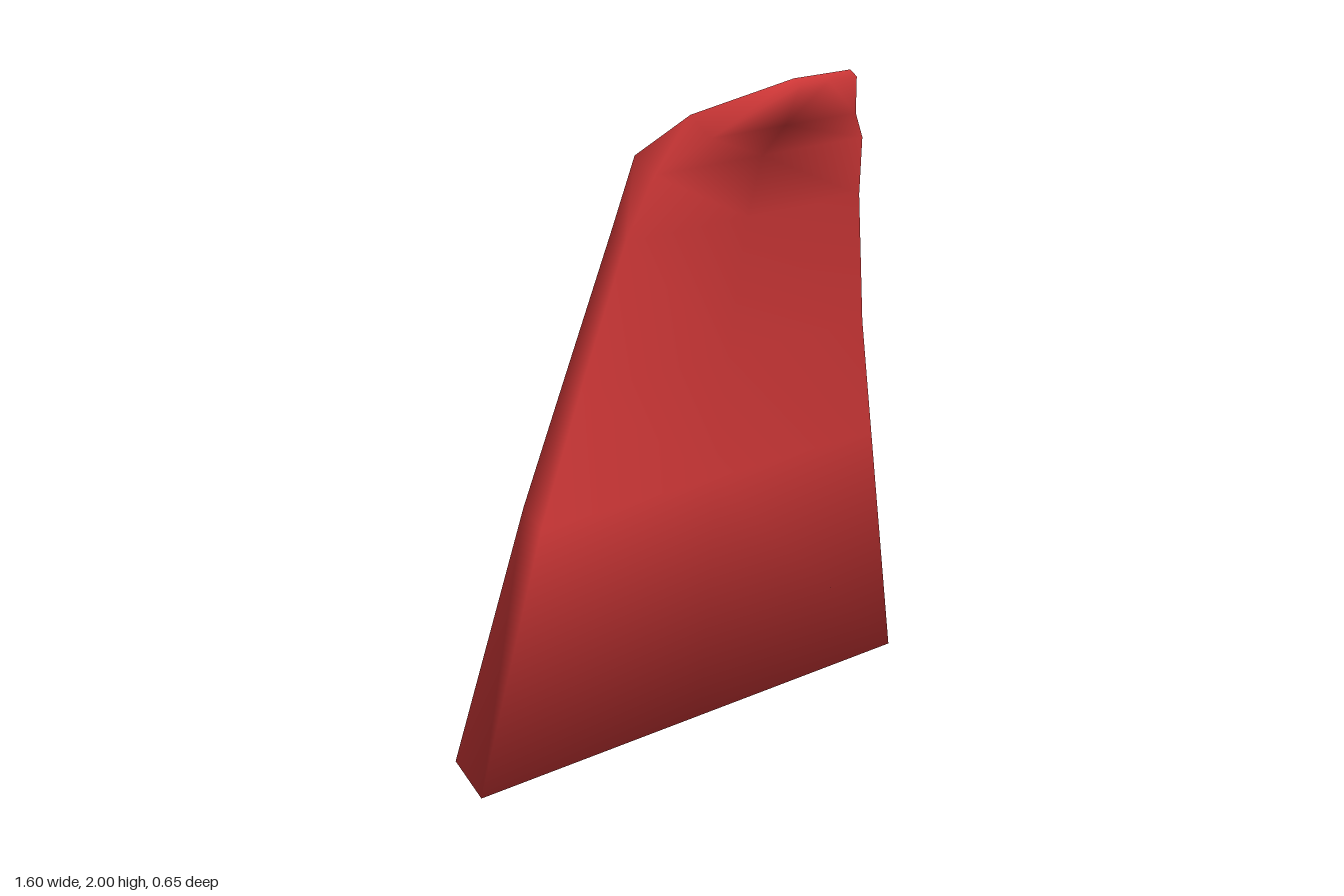
import * as THREE from 'three';

// Rows from top to bottom: half width, front [y, z], back [y, z]
const ROWS = [
  [0.10, [1.985, 0.325], [2.00, 0.30]],
  [0.26, [1.845, 0.16], [1.895, 0.08]],
  [0.375, [1.75, 0.07], [1.79, -0.01]],
  [0.425, [1.57, 0.01], [1.60, -0.045]],
  [0.525, [1.16, -0.07], [1.18, -0.14]],
  [0.625, [0.78, -0.125], [0.82, -0.205]],
  [0.80, [0.0, -0.205], [0.07, -0.325]],
];

// Smooth normals weighted by corner angle, so the thin rims look rounded
function softNormals(geometry) {
  const pos = geometry.attributes.position, index = geometry.index;
  const sums = Array.from({ length: pos.count }, () => new THREE.Vector3());
  for (let f = 0; f < index.count; f += 3) {
    const ids = [0, 1, 2].map((k) => index.getX(f + k));
    const p = ids.map((i) => new THREE.Vector3().fromBufferAttribute(pos, i));
    const normal = new THREE.Triangle(...p).getNormal(new THREE.Vector3());
    ids.forEach((id, k) => {
      const u = p[(k + 1) % 3].clone().sub(p[k]);
      const v = p[(k + 2) % 3].clone().sub(p[k]);
      sums[id].addScaledVector(normal, u.angleTo(v));
    });
  }
  const normals = sums.flatMap((n) => n.normalize().toArray());
  geometry.setAttribute('normal', new THREE.Float32BufferAttribute(normals, 3));
}

// Closed curved slab: one profile ring at the right edge, centre and left edge
function slabGeometry() {
  const n = ROWS.length, ringSize = 2 * n;
  const ring = [
    ...ROWS.map(([w, front]) => [w, ...front]),
    ...ROWS.map(([w, , back]) => [w, ...back]).reverse(),
  ];
  const positions = [], indices = [];
  for (const side of [-1, 0, 1]) {
    for (const [w, y, z] of ring) positions.push(side * w, y, z);
  }
  const quad = (a, b, c, d) => indices.push(a, b, c, a, c, d);

  // Front, underside, back and top rim
  for (let c = 0; c < 2; c++) {
    for (let r = 0; r < ringSize; r++) {
      const next = (r + 1) % ringSize, here = c * ringSize, there = here + ringSize;
      quad(here + r, here + next, there + next, there + r);
    }
  }
  // Narrow side edges
  for (let i = 0; i < n - 1; i++) {
    const back = ringSize - 1 - i, left = 2 * ringSize;
    quad(left + i, left + i + 1, left + back - 1, left + back);
    quad(back, back - 1, i + 1, i);
  }
  const geometry = new THREE.BufferGeometry();
  geometry.setAttribute('position', new THREE.Float32BufferAttribute(positions, 3));
  geometry.setIndex(indices);
  softNormals(geometry);
  return geometry;
}

export function createModel() {
  const red = new THREE.MeshStandardMaterial({ color: 0xd83a3a });
  red.name = 'red cloth';

  const cape = new THREE.Mesh(slabGeometry(), red);
  cape.name = 'cape';

  const model = new THREE.Group();
  model.name = 'capeModel';
  model.add(cape);
  return model;
}
